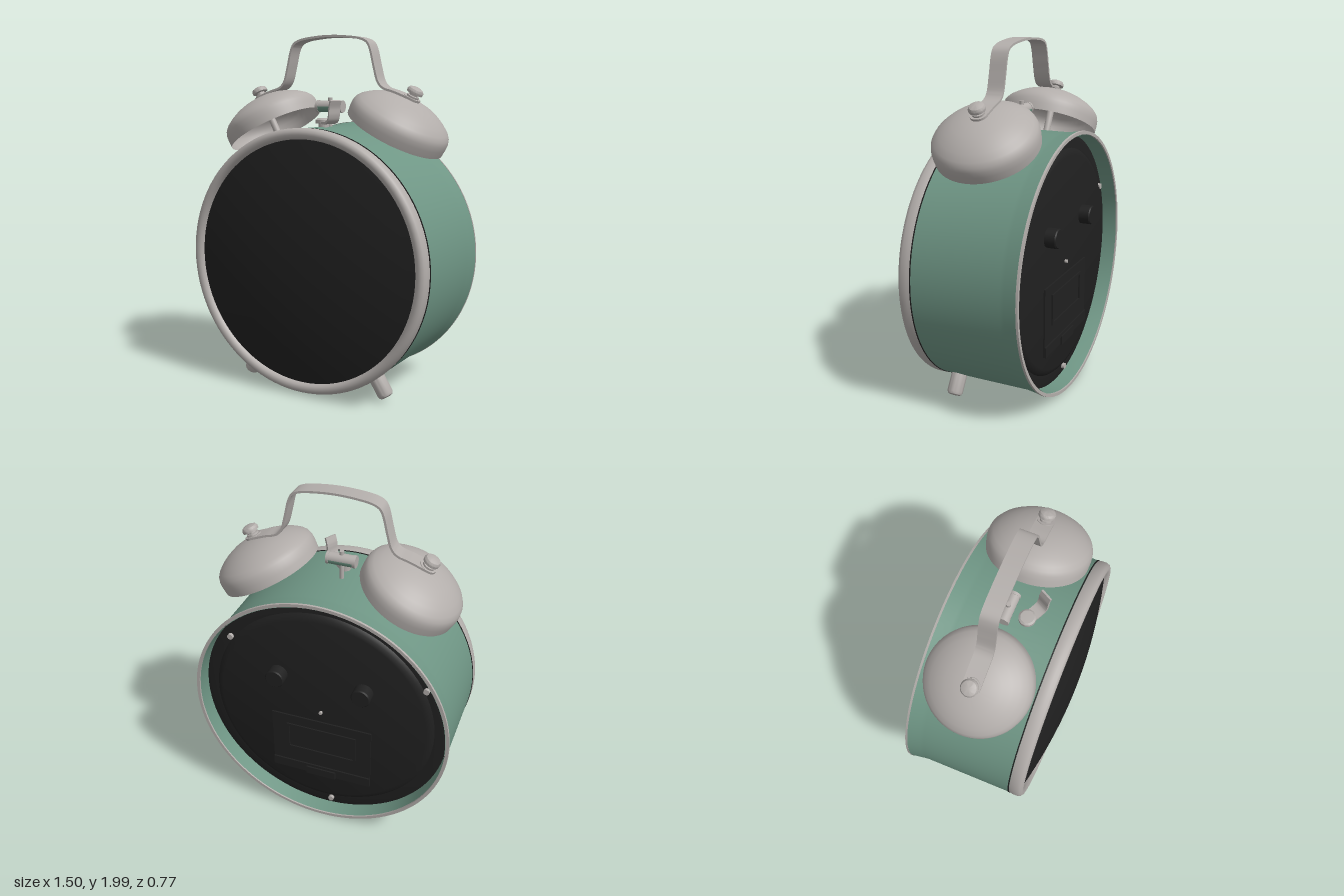
import * as THREE from 'three';
import { toCreasedNormals } from 'three/addons/utils/BufferGeometryUtils.js';

const mat = (name, color) => new THREE.MeshStandardMaterial({ name, color, side: THREE.DoubleSide });
const v2 = (p) => new THREE.Vector2(p[0], p[1]);
const CY = 0.757; // height of the case axis
const BELL_Z = -0.037;

export function createModel() {
  const green = mat('caseGreen', 0x6f9685);
  const metal = mat('brushedMetal', 0xb3aeab);
  const black = mat('black', 0x202020);
  const model = new THREE.Group();
  model.name = 'alarmClock';

  const add = (parent, name, geometry, material, x = 0, y = 0, z = 0) => {
    const mesh = new THREE.Mesh(geometry, material);
    mesh.name = name;
    mesh.position.set(x, y, z);
    parent.add(mesh);
    return mesh;
  };
  // Turned part, profile given as [radius, height]
  const turned = (points, segments = 40, crease = 0.6) =>
    toCreasedNormals(new THREE.LatheGeometry(points.map(v2), segments), crease);
  // Turned part whose axis is z, profile given as [radius, z]
  const drum = (name, points, material) =>
    add(model, name, turned(points, 96).rotateX(Math.PI / 2), material, 0, CY, 0);
  // Bent strip of even thickness, swept across z
  const strip = (points, thickness, width, samples) => {
    const curve = new THREE.CatmullRomCurve3(points.map((p) => new THREE.Vector3(p[0], p[1], 0)));
    const upper = [], lower = [];
    for (let i = 0; i <= samples; i++) {
      const p = curve.getPoint(i / samples), t = curve.getTangent(i / samples);
      const nx = -t.y * thickness / 2, ny = t.x * thickness / 2;
      upper.push(new THREE.Vector2(p.x + nx, p.y + ny));
      lower.unshift(new THREE.Vector2(p.x - nx, p.y - ny));
    }
    const geometry = new THREE.ExtrudeGeometry(new THREE.Shape([...lower, ...upper]),
      { depth: width, bevelEnabled: false });
    return toCreasedNormals(geometry.translate(0, 0, -width / 2), 0.6);
  };

  // Case shell with a flared rear
  drum('caseShell', [[0.728, -0.372], [0.722, -0.28], [0.722, 0.25], [0.735, 0.25],
    [0.735, -0.27], [0.738, -0.295], [0.749, -0.365]].reverse(), green);
  drum('rearRim', [[0.732, -0.365], [0.732, -0.377], [0.75, -0.377], [0.751, -0.365]], metal);

  // Front bezel and domed glass
  drum('bezelSeam', [[0.731, 0.245], [0.738, 0.245], [0.738, 0.251], [0.731, 0.251]], black);
  drum('bezel', [[0.72, 0.251], [0.735, 0.253], [0.739, 0.27], [0.739, 0.3], [0.733, 0.317],
    [0.72, 0.327], [0.703, 0.329], [0.69, 0.323], [0.681, 0.312], [0.677, 0.295]], metal);
  const dome = [];
  for (let i = 0; i <= 12; i++) {
    const r = 0.682 * (1 - i / 12);
    dome.push([r, 0.385 - 0.179 * r * r]);
  }
  drum('dial', dome, black);

  // Recessed back panel with a raised middle
  drum('backPanel', [[0, -0.32], [0.61, -0.32], [0.635, -0.312], [0.65, -0.295],
    [0.7, -0.292], [0.725, -0.285]], black);

  // Setting knobs
  for (const s of [1, -1]) {
    const knob = turned([[0, 0], [0.055, 0], [0.055, 0.06], [0.049, 0.066], [0, 0.066]], 28);
    add(model, 'settingKnob', knob.rotateX(-Math.PI / 2), black, s * 0.25, 0.98, -0.319);
  }

  // Battery door: plate, inner frame, lower ridge and latch
  const box = (name, w, h, d, y) =>
    add(model, name, new THREE.BoxGeometry(w, h, d), black, 0, CY + y, -0.32);
  box('batteryDoor', 0.6, 0.34, 0.018, -0.23);
  box('doorRidge', 0.6, 0.06, 0.036, -0.43);
  box('doorLatch', 0.18, 0.05, 0.054, -0.44);
  const frame = new THREE.Shape([[-0.21, -0.3], [0.21, -0.3], [0.21, -0.12], [-0.21, -0.12]].map(v2));
  frame.holes.push(new THREE.Path([[-0.195, -0.285], [-0.195, -0.135], [0.195, -0.135], [0.195, -0.285]].map(v2)));
  add(model, 'doorFrame', new THREE.ExtrudeGeometry(frame, { depth: 0.01, bevelEnabled: false }),
    black, 0, CY, -0.337);

  // Back screws and centre pin
  const pins = [[0.54, 0.39, 0.017, -0.3], [-0.59, 0.31, 0.017, -0.3], [-0.05, -0.67, 0.017, -0.3], [0, 0.01, 0.01, -0.322]];
  for (const [x, y, r, z] of pins) {
    add(model, 'backScrew', new THREE.CylinderGeometry(r, r, 0.024, 16).rotateX(Math.PI / 2),
      metal, x, CY + y, z);
  }

  for (const s of [1, -1]) {
    // Bell, post and cap nut share one tilted axis
    const bell = new THREE.Group();
    bell.name = s > 0 ? 'leftBell' : 'rightBell';
    bell.position.set(s * 0.39, 1.465, BELL_Z);
    bell.rotation.z = -s * 0.482;
    model.add(bell);
    add(bell, 'bellDome', turned([[0.284, 0], [0.287, 0.04], [0.286, 0.07], [0.279, 0.093],
      [0.262, 0.115], [0.228, 0.141], [0.19, 0.163], [0.145, 0.182], [0.09, 0.196], [0.04, 0.203], [0, 0.204]], 56), metal);
    add(bell, 'bellPost', new THREE.CylinderGeometry(0.02, 0.02, 0.33, 20), metal, 0, 0.04);
    add(bell, 'handleEnd', new THREE.CylinderGeometry(0.047, 0.047, 0.012, 28), metal, 0, 0.212);
    add(bell, 'capNut', turned([[0, 0.218], [0.034, 0.218], [0.034, 0.228], [0.024, 0.23],
      [0.024, 0.24], [0.045, 0.242], [0.046, 0.256], [0.039, 0.268], [0.022, 0.275], [0, 0.277]], 28), metal);

    // Foot, pointing away from the case axis
    const foot = add(model, 'foot', turned([[0.045, 0.7], [0.045, 0.835], [0.039, 0.849],
      [0.028, 0.855], [0, 0.857]], 28), metal, 0, CY, 0.16);
    foot.rotation.z = Math.PI + s * 0.56;
  }

  // Carrying handle
  const half = [[-0.488, 1.653], [-0.4, 1.687], [-0.335, 1.708], [-0.304, 1.74], [-0.277, 1.83],
    [-0.254, 1.92], [-0.235, 1.955], [-0.195, 1.975], [-0.1, 1.989]];
  const handle = [...half, [0, 1.994], ...half.map(([x, y]) => [-x, y]).reverse()];
  add(model, 'handle', strip(handle, 0.012, 0.095, 80), metal, 0, 0, BELL_Z);

  // Hammer between the bells
  add(model, 'hammerArm', new THREE.CylinderGeometry(0.013, 0.013, 0.19, 16), metal, -0.02, 1.56, BELL_Z);
  for (const [name, start, material] of [['hammerTop', 0, metal], ['hammerUnderside', Math.PI, green]]) {
    const barrel = new THREE.CylinderGeometry(0.033, 0.033, 0.16, 16, 1, true, start, Math.PI);
    add(model, name, barrel.rotateZ(Math.PI / 2), material, -0.02, 1.604, BELL_Z);
  }
  for (const s of [1, -1]) {
    add(model, 'hammerFace', new THREE.CylinderGeometry(0.035, 0.035, 0.016, 24).rotateZ(Math.PI / 2),
      metal, -0.02 + s * 0.075, 1.604, BELL_Z);
  }

  // Stop lever: round base with an upturned tab
  const lever = new THREE.Group();
  lever.name = 'stopLever';
  lever.position.set(-0.005, 1.49, 0.06);
  lever.rotation.y = -0.5;
  model.add(lever);
  add(lever, 'leverBase', turned([[0.03, 0], [0.03, 0.02], [0.046, 0.022], [0.046, 0.042],
    [0.036, 0.05], [0, 0.052]], 28), metal);
  add(lever, 'leverTab', strip([[0, 0.028], [0.06, 0.026], [0.095, 0.04], [0.108, 0.07],
    [0.112, 0.11], [0.125, 0.15]], 0.012, 0.07, 24), metal);

  return model;
}
